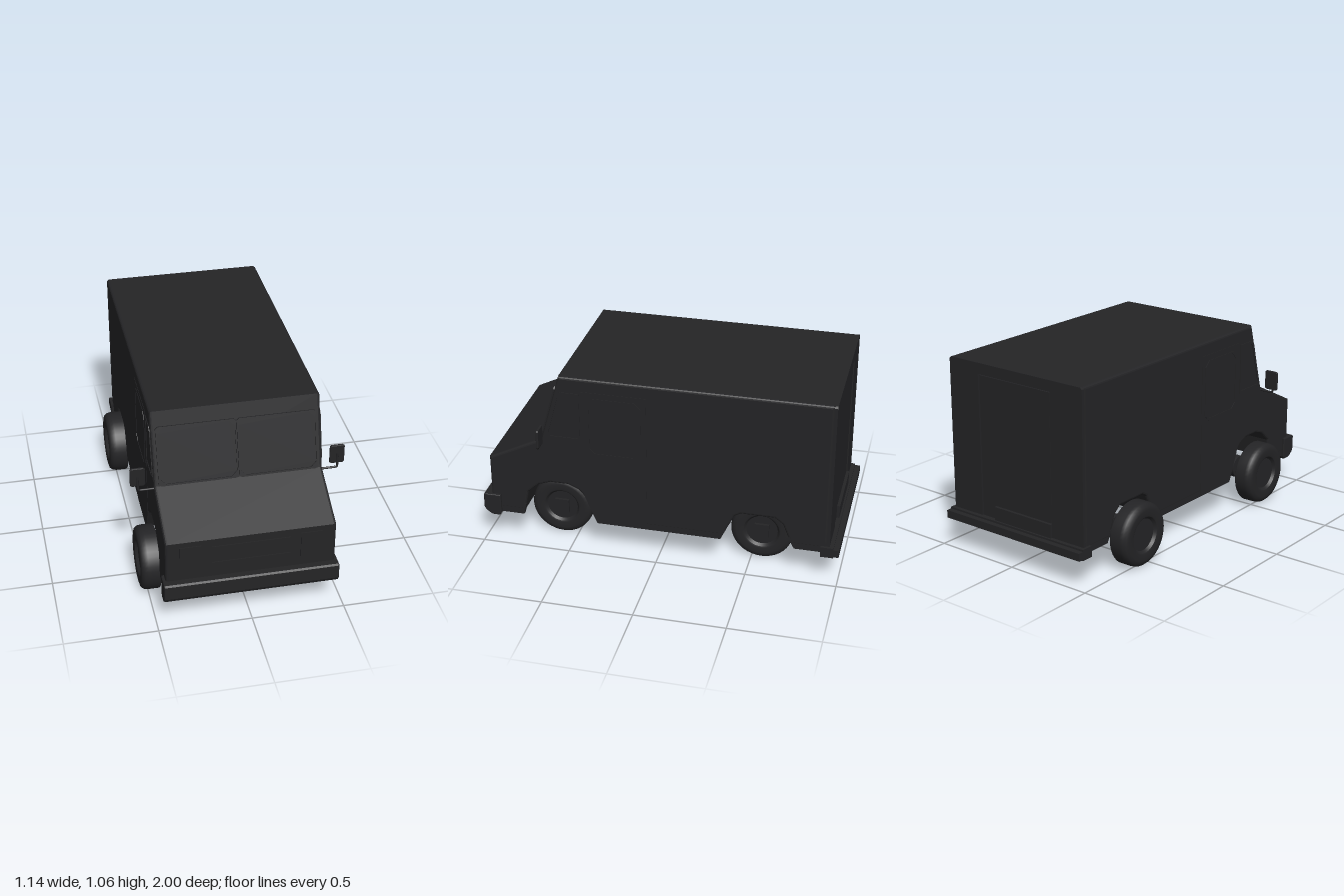
import * as THREE from 'three';

const paint = new THREE.MeshStandardMaterial({ color: 0x242426 });

function add(parent, name, geometry, x = 0, y = 0, z = 0) {
  const mesh = new THREE.Mesh(geometry, paint);
  mesh.name = name;
  mesh.position.set(x, y, z);
  parent.add(mesh);
  return mesh;
}

const box = (w, h, d) => new THREE.BoxGeometry(w, h, d);

function toShape(pts, holes = []) {
  const shape = new THREE.Shape(pts.map(([a, b]) => new THREE.Vector2(a, b)));
  shape.holes = holes.map((hole) => toShape(hole));
  return shape;
}

// Flat plate given as [x, y] points, growing towards +z
const plate = (pts, depth, holes) =>
  new THREE.ExtrudeGeometry(toShape(pts, holes), { depth, bevelEnabled: false });

// Extrudes a side outline given as [z, y] points from x0 to x1
function sideExtrude(pts, x0, x1, bevel = 0, holes = []) {
  const geo = new THREE.ExtrudeGeometry(toShape(pts, holes), {
    depth: x1 - x0 - 2 * bevel, bevelEnabled: bevel > 0, bevelSize: bevel,
    bevelThickness: bevel, bevelOffset: -bevel, bevelSegments: 3,
  });
  return geo.rotateY(-Math.PI / 2).translate(x1 - bevel, 0, 0);
}

// Rectangle outline with cut corners
const cutRect = (a0, b0, a1, b1, c) => [
  [a0 + c, b0], [a1 - c, b0], [a1, b0 + c], [a1, b1 - c],
  [a1 - c, b1], [a0 + c, b1], [a0, b1 - c], [a0, b0 + c],
];

// Wheel: tyre and dished rim turned around x, outer face towards +x
function makeWheel(name) {
  const wheel = new THREE.Group();
  wheel.name = name;
  const profile = [
    [0, 0.014], [0.138, 0.014], [0.138, 0.014], [0.14, 0], [0.14, 0], [0.17, 0], [0.17, 0],
    [0.175, 0.006], [0.175, 0.065], [0.172, 0.085], [0.16, 0.1], [0.14, 0.105],
    [0.108, 0.103], [0.1, 0.1], [0.1, 0.1], [0.088, 0.085], [0.088, 0.085], [0, 0.085],
  ].map(([r, h]) => new THREE.Vector2(r, h));
  add(wheel, 'tyreAndRim', new THREE.LatheGeometry(profile, 40).rotateZ(-Math.PI / 2));
  for (let i = 0; i < 5; i++) {
    const spoke = add(wheel, 'innerSpoke', box(0.012, 0.12, 0.045).translate(0, 0.08, 0), 0.01);
    spoke.rotation.x = (i * Math.PI * 2) / 5;
  }
  return wheel;
}

export function createModel() {
  const van = new THREE.Group();
  van.name = 'stepVan';

  // Main body with wheel arches; its floor sits just above the skirt edge
  const outline = [
    [0.955, 0.2], [0.955, 0.52], [0.65, 0.67], [0.54, 1.06], [-0.935, 1.06], [-0.935, 0.2],
    [-0.738, 0.2], [-0.716, 0.25], [-0.69, 0.315], [-0.645, 0.35], [-0.46, 0.35], [-0.425, 0.33],
    [-0.362, 0.2], [0.355, 0.2], [0.41, 0.33], [0.45, 0.375], [0.51, 0.4], [0.61, 0.4],
    [0.68, 0.375], [0.74, 0.32], [0.765, 0.2],
  ];
  add(van, 'body', sideExtrude(outline, -0.45, 0.45, 0.014));
  add(van, 'frontFloor', box(0.4, 0.2, 0.4), 0, 0.35, 0.57);
  add(van, 'rearFloor', box(0.4, 0.16, 0.36), 0, 0.33, -0.55);

  // Rear wall around the recessed door, with the small panel at its foot
  const doorway = [[-0.24, 0.21], [0.25, 0.21], [0.25, 1], [-0.24, 1]];
  add(van, 'rearWall', plate(cutRect(-0.45, 0.175, 0.45, 1.06, 0.01), 0.018, [doorway]), 0, 0, -0.948);
  add(van, 'rearDoor', box(0.478, 0.778, 0.01), 0.005, 0.605, -0.938);
  add(van, 'rearDoorStep', box(0.39, 0.08, 0.025), -0.045, 0.25, -0.947);

  // Skirts along the lower edge
  const skirts = [
    [[0.955, 0.175], [0.955, 0.24], [0.756, 0.24], [0.77, 0.175]],
    [[0.345, 0.175], [0.372, 0.24], [-0.381, 0.24], [-0.35, 0.175]],
    [[-0.755, 0.175], [-0.72, 0.24], [-0.945, 0.24], [-0.945, 0.175]],
  ];
  for (const s of [-1, 1]) {
    const sx = (a, b) => (s > 0 ? [a, b] : [-b, -a]);
    for (const pts of skirts) add(van, 'skirt', sideExtrude(pts, ...sx(0.425, 0.4495)));

    // Sliding door, cut to the wheel arch at its foot, with its window
    const door = [[0.06, 0.18], [0.345, 0.18], [0.41, 0.335], [0.415, 0.36], [0.415, 0.985], [0.06, 0.985]];
    const glass = cutRect(0.1, 0.62, 0.375, 0.94, 0.03);
    add(van, 'slidingDoor', sideExtrude(door, ...sx(0.44, 0.452)));
    add(van, 'doorWindowFrame', sideExtrude(cutRect(0.088, 0.608, 0.387, 0.952, 0.035), ...sx(0.45, 0.4545), 0, [glass]));

    // Quarter window between door and windscreen
    const pane = [[0.44, 0.7], [0.6, 0.7], [0.605, 0.72], [0.545, 0.94], [0.53, 0.955], [0.44, 0.955]];
    const rim = [[0.427, 0.685], [0.61, 0.685], [0.62, 0.715], [0.558, 0.95], [0.535, 0.97], [0.427, 0.97]];
    add(van, 'quarterWindowFrame', sideExtrude(rim, ...sx(0.44, 0.454), 0, [pane]));

    // Mirror on a bent arm
    const mirror = new THREE.Group();
    mirror.name = 'mirror';
    const arm = new THREE.CurvePath();
    const bend = [[0.44, 0.655], [0.527, 0.655], [0.533, 0.661], [0.533, 0.74]]
      .map(([x, y]) => new THREE.Vector3(s * x, y, 0.643));
    for (let i = 0; i < 3; i++) arm.add(new THREE.LineCurve3(bend[i], bend[i + 1]));
    add(mirror, 'mirrorArm', new THREE.TubeGeometry(arm, 24, 0.006, 8));
    const head = new THREE.ExtrudeGeometry(toShape(cutRect(-0.04, -0.055, 0.04, 0.055, 0.008)), {
      depth: 0.006, bevelSize: 0.004, bevelThickness: 0.004, bevelOffset: -0.004, bevelSegments: 2,
    });
    add(mirror, 'mirrorHead', head, s * 0.532, 0.73, 0.627);
    van.add(mirror);

    // Headlight panel
    add(van, 'headlightPanel', box(0.115, 0.175, 0.02), s * 0.32, 0.403, 0.95);
  }
  add(van, 'frontApron', box(0.88, 0.06, 0.02), 0, 0.205, 0.944);

  // Split windscreen lying on the sloping front
  const screen = new THREE.Group();
  screen.name = 'windscreen';
  screen.position.set(0, 0.67, 0.65);
  screen.rotation.x = -Math.atan2(0.11, 0.39);
  for (const s of [-1, 1]) {
    const hole = cutRect(-0.204, 0.01, 0.204, 0.314, 0.03);
    const rim = cutRect(-0.212, 0, 0.212, 0.322, 0.012);
    add(screen, 'windscreenFrame', plate(rim, 0.01, [hole]), s * 0.213);
    add(screen, 'windscreenPane', plate(hole, 0.004), s * 0.213);
  }
  van.add(screen);

  // Grille slots
  for (const y of [0.34, 0.44]) add(van, 'grilleSlot', box(0.415, 0.07, 0.02), 0, y, 0.95);

  // Bumpers
  const front = [[0.9, 0.17], [0.9, 0.285], [0.99, 0.285], [1, 0.278], [1, 0.2], [0.99, 0.18],
    [0.96, 0.158], [0.945, 0.155], [0.91, 0.155]];
  add(van, 'frontBumper', sideExtrude(front, -0.465, 0.465, 0.006));
  const rear = [[-0.9, 0.155], [-0.9, 0.215], [-0.97, 0.215], [-0.97, 0.205], [-1, 0.205],
    [-1, 0.162], [-0.97, 0.162], [-0.97, 0.155]];
  add(van, 'rearBumper', sideExtrude(rear, -0.465, 0.465));

  // Axles with two narrow necks, and the wheels, which sit off centre
  const axleProfile = [
    [0, -0.355], [0.065, -0.355], [0.065, -0.355], [0.065, -0.17], [0.058, -0.145], [0.048, -0.118],
    [0.058, -0.09], [0.065, -0.065], [0.065, 0.065], [0.058, 0.09], [0.048, 0.118],
    [0.058, 0.145], [0.065, 0.17], [0.065, 0.23], [0.065, 0.23], [0, 0.23],
  ].map(([r, h]) => new THREE.Vector2(r, h));
  for (const [end, z] of [['front', 0.59], ['rear', -0.555]]) {
    add(van, end + 'Axle', new THREE.LatheGeometry(axleProfile, 24).rotateZ(-Math.PI / 2), 0, 0.175, z);
    add(van, end + 'AxleShaft', new THREE.CylinderGeometry(0.018, 0.018, 0.1, 16).rotateZ(Math.PI / 2), -0.4, 0.175, z);
    const left = makeWheel(end + 'LeftWheel');
    left.position.set(0.22, 0.175, z);
    add(left, 'hub', box(0.03, 0.08, 0.08), 0.085);
    const right = makeWheel(end + 'RightWheel');
    right.position.set(-0.44, 0.175, z);
    right.rotation.y = Math.PI;
    van.add(left, right);
  }
  return van;
}
